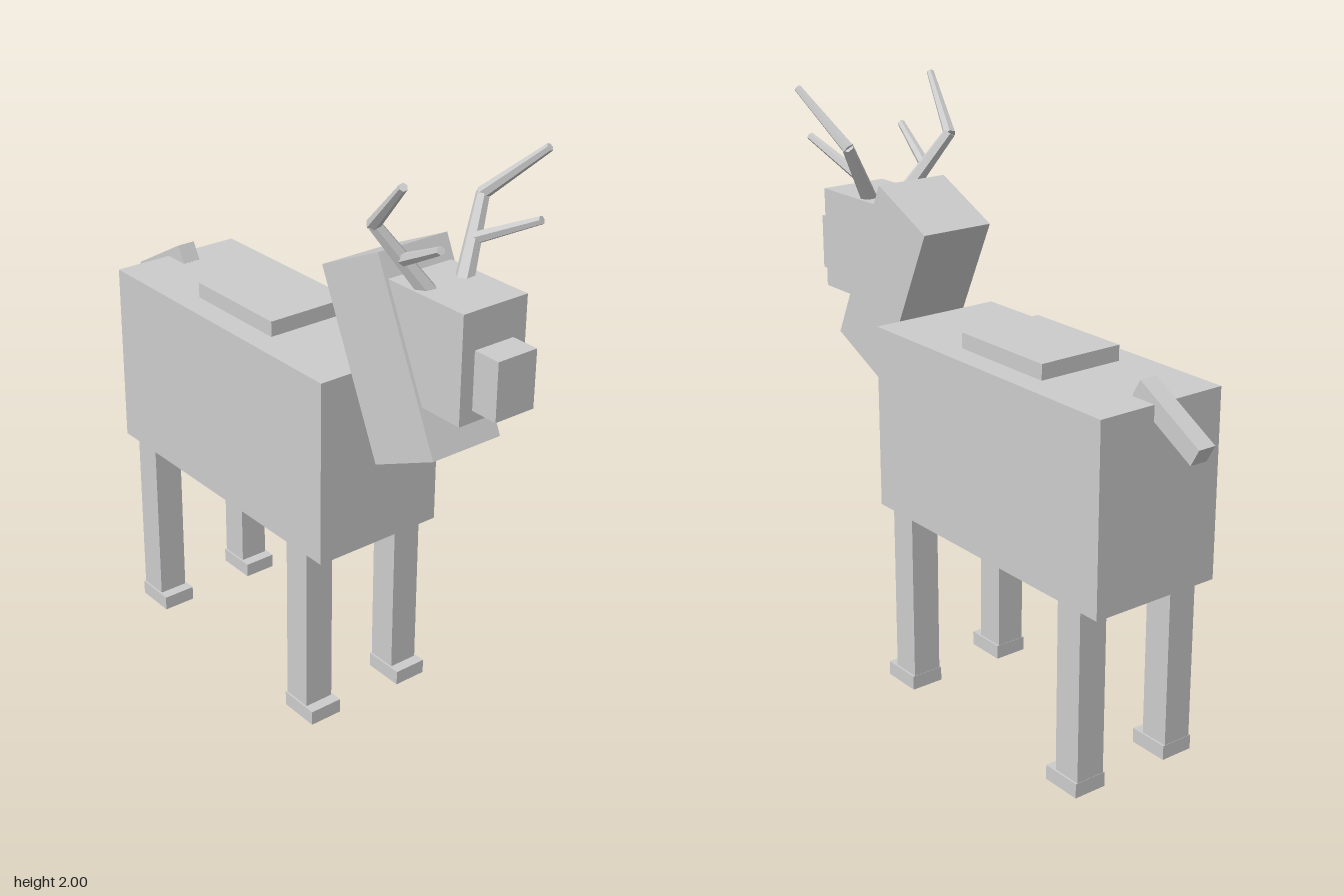
import * as THREE from 'three';

export function createModel() {
  const model = new THREE.Group();
  model.name = 'stag';
  const grey = new THREE.MeshStandardMaterial({ color: 0xcccccc, flatShading: true });
  grey.name = 'light grey';

  function add(name, geometry) {
    const mesh = new THREE.Mesh(geometry, grey);
    mesh.name = name;
    model.add(mesh);
    return mesh;
  }

  // Box given by its extents, symmetric about zMid
  function box(name, x0, x1, y0, y1, depth, zMid = 0) {
    const mesh = add(name, new THREE.BoxGeometry(x1 - x0, y1 - y0, depth));
    mesh.position.set((x0 + x1) / 2, (y0 + y1) / 2, zMid);
    return mesh;
  }

  // Box tilted in the side plane
  function tilted(name, x, y, w, h, depth, degrees) {
    const mesh = box(name, x - w / 2, x + w / 2, y - h / 2, y + h / 2, depth);
    mesh.rotation.z = THREE.MathUtils.degToRad(degrees);
  }

  // Tapered six-sided rod between two points
  function rod(name, from, to, r0, r1) {
    const a = new THREE.Vector3(...from);
    const b = new THREE.Vector3(...to);
    const dir = b.clone().sub(a);
    const mesh = add(name, new THREE.CylinderGeometry(r1, r0, dir.length(), 6));
    mesh.position.copy(a).add(b).multiplyScalar(0.5);
    mesh.quaternion.setFromUnitVectors(new THREE.Vector3(0, 1, 0), dir.normalize());
  }

  // Trunk and back pad
  box('body', -0.752, 0.36, 0.632, 1.26, 0.47);
  box('backPad', -0.39, 0.005, 1.255, 1.312, 0.306);

  // Neck, head and tail
  tilted('neck', 0.489, 1.351, 0.28, 0.62, 0.262, 25);
  box('head', 0.5, 0.836, 1.274, 1.618, 0.24);
  box('muzzle', 0.82, 0.931, 1.312, 1.498, 0.145);
  tilted('tail', -0.798, 1.219, 0.288, 0.065, 0.063, 29.5);

  for (const side of [1, -1]) {
    const label = side > 0 ? 'near' : 'far';

    // Legs with hooves reaching forward
    for (const [end, x] of [['Hind', -0.677], ['Fore', 0.184]]) {
      box(label + end + 'Leg', x, x + 0.104, 0.03, 0.636, 0.103, side * 0.182);
      box(label + end + 'Hoof', x - 0.001, x + 0.142, 0, 0.05, 0.117, side * 0.182);
    }

    // Antler: lower beam, upper beam and a forward tine
    rod(label + 'AntlerBeam', [0.633, 1.6, side * 0.066], [0.55, 1.815, side * 0.205], 0.03, 0.021);
    rod(label + 'AntlerTop', [0.547, 1.81, side * 0.203], [0.743, 1.988, side * 0.267], 0.021, 0.013);
    rod(label + 'AntlerTine', [0.597, 1.705, side * 0.135], [0.808, 1.811, side * 0.186], 0.02, 0.013);
  }

  return model;
}
